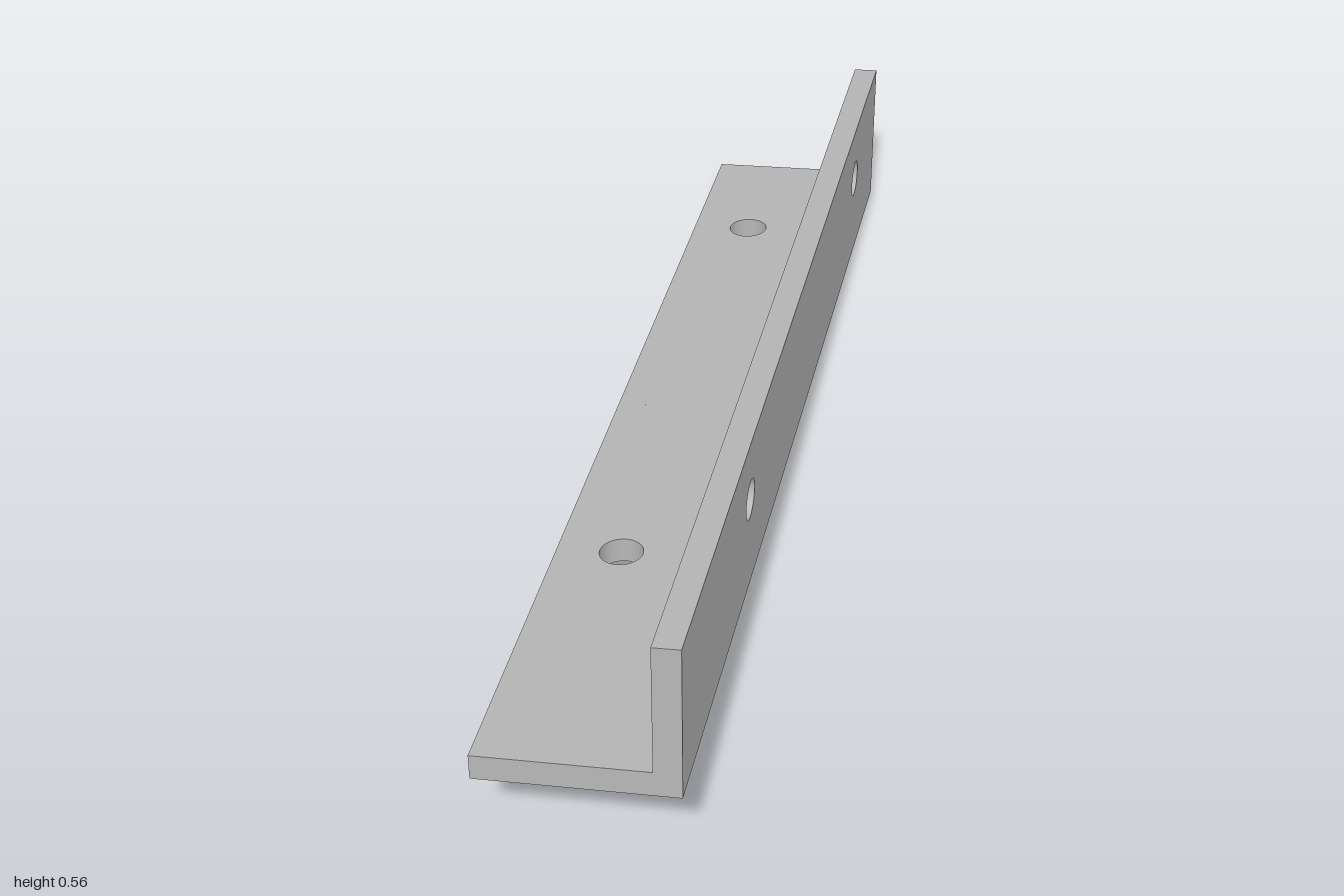
import * as THREE from 'three';

const LENGTH = 2.058, WIDTH = 0.335, HEIGHT = 0.307, WALL = 0.046, FLANGE = 0.05;
const HOLES = [0.272, 0.857]; // fractions along the length
const HOLE_RADIUS = 0.038;

// Rectangular plate outline from y0 to y1 with two round holes at holeY
function plate(y0, y1, holeY, depth) {
  const shape = new THREE.Shape([
    new THREE.Vector2(0, y0), new THREE.Vector2(LENGTH, y0),
    new THREE.Vector2(LENGTH, y1), new THREE.Vector2(0, y1),
  ]);
  for (const f of HOLES) {
    shape.holes.push(new THREE.Path().absarc(f * LENGTH, holeY, HOLE_RADIUS, 0, Math.PI * 2, true));
  }
  return new THREE.ExtrudeGeometry(shape, { depth, bevelEnabled: false, curveSegments: 32 });
}

// Turn the bar about the vertical and slope it, with a slight twist; verticals stay vertical
function place(geometry) {
  const p = geometry.attributes.position;
  for (let i = 0; i < p.count; i++) {
    const s = p.getX(i) / LENGTH, w = -p.getZ(i) / WIDTH;
    p.setXYZ(i,
      -0.3 + 0.9 * s - 0.3 * w,
      p.getY(i) + 0.252 - 0.229 * s - w * (0.029 - 0.006 * s),
      1 - 1.85 * s - 0.15 * w);
  }
  geometry.computeVertexNormals();
  return geometry;
}

export function createModel() {
  const group = new THREE.Group();
  group.name = 'angleBracket';
  const metal = new THREE.MeshStandardMaterial({ color: 0xb8b8b8 });
  metal.name = 'grey metal';

  // Upright plate
  const wall = new THREE.Mesh(place(plate(0, HEIGHT, 0.187, WALL).translate(0, 0, -WALL)), metal);
  wall.name = 'uprightPlate';

  // Flat plate reaching back from the upright
  const flange = new THREE.Mesh(place(plate(WALL, WIDTH, 0.222, FLANGE).rotateX(-Math.PI / 2)), metal);
  flange.name = 'basePlate';

  group.add(wall, flange);
  return group;
}
